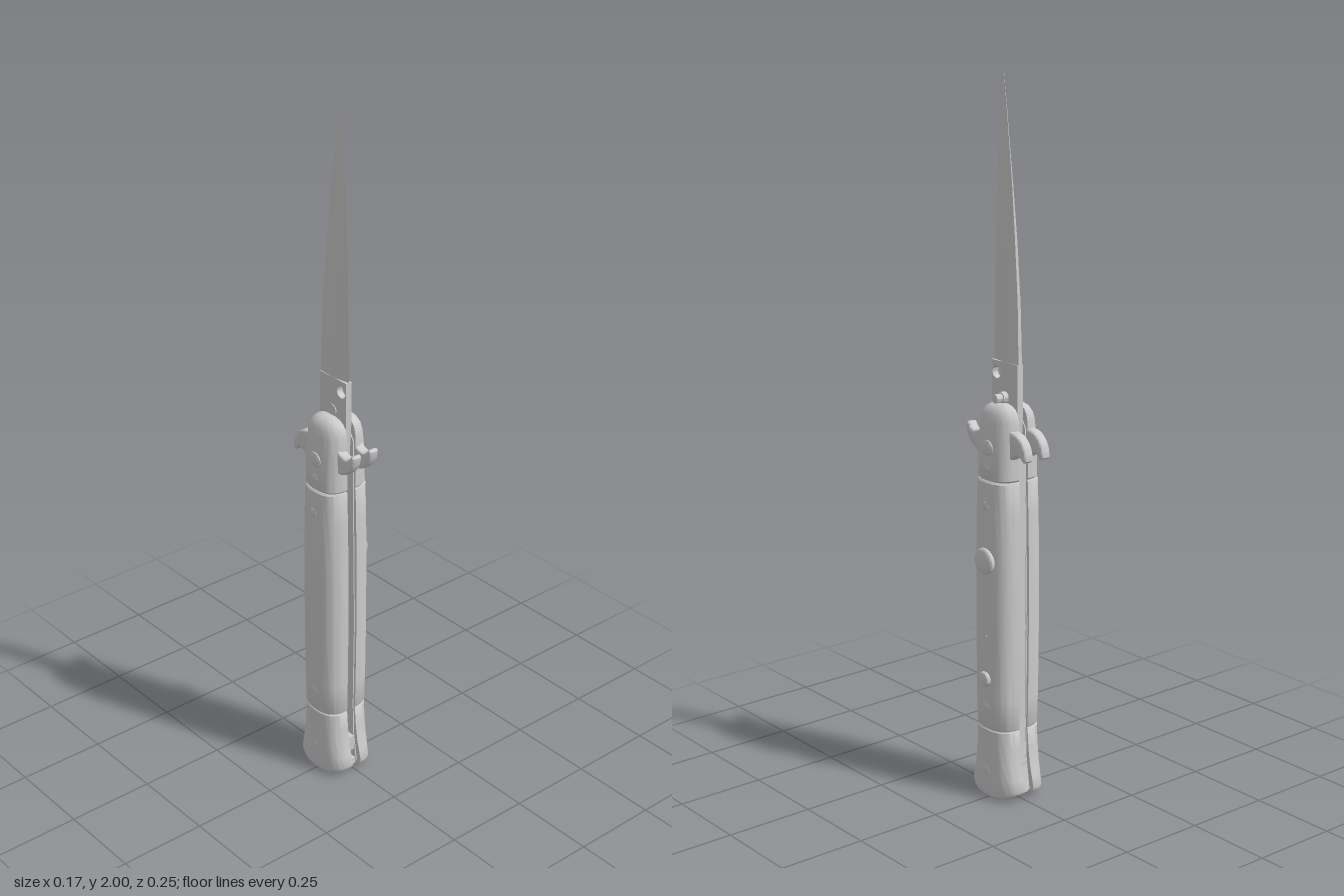
import * as THREE from 'three';
import { toCreasedNormals } from 'three/addons/utils/BufferGeometryUtils.js';

const CX = -0.0065;   // middle plane of the knife
const GAP = 0.0145;   // half the gap between the handle halves
const material = new THREE.MeshStandardMaterial({ color: 0xcccccc, side: THREE.DoubleSide });

// Skin closed loops of [x, y, z] stacked upward, with a cap at each end.
function loft(rows, crease) {
  const n = rows[0].length, pos = rows.flat(2), index = [];
  for (let j = 0; j < rows.length - 1; j++) {
    for (let i = 0; i < n; i++) {
      const k = (i + 1) % n, a = j * n, b = a + n;
      index.push(a + i, a + k, b + i, a + k, b + k, b + i);
    }
  }
  [0, rows.length - 1].forEach((j) => {
    const c = pos.length / 3;
    for (let d = 0; d < 3; d++) pos.push(rows[j].reduce((s, p) => s + p[d], 0) / n);
    for (let i = 0; i < n; i++) {
      const p = j * n + i, q = j * n + (i + 1) % n;
      j === 0 ? index.push(c, q, p) : index.push(c, p, q);
    }
  });
  const geo = new THREE.BufferGeometry();
  geo.setAttribute('position', new THREE.Float32BufferAttribute(pos, 3));
  geo.setIndex(index);
  return toCreasedNormals(geo, crease);
}

// One handle half from rows of [y, half width, outer thickness].
function halfShell(side, rows) {
  const N = 24;
  return loft(rows.map(([y, w, t]) => {
    const ring = [];
    for (let i = 0; i <= N; i++) {
      const a = Math.PI * i / N, c = Math.cos(a), s = Math.max(0, Math.sin(a));
      const z = w * Math.sign(c) * Math.abs(c) ** 0.75;
      const x = GAP + (t - GAP) * s ** 0.75;
      // the butt curves up towards both corners
      const lift = 0.022 * (z / w) ** 2 * Math.max(0, 1 - y / 0.1);
      ring.push([CX + side * x, y + lift, z]);
    }
    return side > 0 ? ring : ring.reverse();
  }), 0.6);
}

// Flat plate drawn as (z, y), with its thickness along x from x0 to x1.
function plate(shape, x0, x1, bevel = 0) {
  const geo = new THREE.ExtrudeGeometry(shape, {
    depth: x1 - x0 - 2 * bevel, curveSegments: 16, bevelEnabled: bevel > 0,
    bevelSize: bevel, bevelThickness: bevel, bevelOffset: -bevel, bevelSegments: 3,
  });
  geo.rotateY(-Math.PI / 2).translate(x1 - bevel, 0, 0);
  return toCreasedNormals(geo, 0.6);
}

const polygon = (pts) => new THREE.Shape(pts.map(([z, y]) => new THREE.Vector2(z, y)));

// Turned stud pointing out along x, from [radius, height] points.
function stud(side, x, y, profile) {
  const geo = new THREE.LatheGeometry(profile.map(([r, h]) => new THREE.Vector2(r, h)), 24);
  geo.rotateZ(-side * Math.PI / 2).translate(CX + side * x, y, 0);
  return toCreasedNormals(geo, 0.6);
}
const dome = (r, h) => [[r, -0.012], [r, h * 0.3], [r * 0.85, h * 0.7], [r * 0.5, h * 0.94], [0, h]];

export function createModel() {
  const model = new THREE.Group();
  const add = (name, geo, parent = model) => {
    const mesh = new THREE.Mesh(geo, material);
    mesh.name = name;
    parent.add(mesh);
  };

  // Handle halves: butt bolster, scale, upper bolster, guard, liner and pins
  for (const side of [1, -1]) {
    const half = new THREE.Group();
    half.name = side > 0 ? 'leftHandleHalf' : 'rightHandleHalf';
    model.add(half);

    add('buttBolster', halfShell(side, [
      [0.002, 0.082, 0.066], [0.008, 0.092, 0.073], [0.02, 0.095, 0.076], [0.06, 0.088, 0.076],
      [0.1, 0.08, 0.076], [0.15, 0.073, 0.076], [0.204, 0.069, 0.076], [0.208, 0.066, 0.073]]), half);
    add('scale', halfShell(side, [
      [0.208, 0.066, 0.074], [0.213, 0.069, 0.077], [0.3, 0.071, 0.079], [0.45, 0.073, 0.0795],
      [0.68, 0.073, 0.0795], [0.82, 0.07, 0.079], [0.915, 0.067, 0.077], [0.92, 0.064, 0.073]]), half);
    add('upperBolster', halfShell(side, [
      [0.92, 0.063, 0.071], [0.925, 0.067, 0.074], [0.97, 0.067, 0.073], [1.03, 0.067, 0.07],
      [1.08, 0.065, 0.064], [1.1, 0.061, 0.059], [1.115, 0.051, 0.051], [1.123, 0.037, 0.041],
      [1.127, 0.02, 0.03]]), half);

    // Guard with one horn curling up and one curling down
    const g = new THREE.Shape();
    g.moveTo(-0.05, 1.068);
    g.lineTo(-0.066, 1.06);
    g.bezierCurveTo(-0.1, 1.06, -0.126, 1.03, -0.125, 0.992);
    g.quadraticCurveTo(-0.118, 0.982, -0.11, 0.989);
    g.bezierCurveTo(-0.1, 1.005, -0.085, 1.0, -0.068, 0.985);
    g.lineTo(0.066, 0.982);
    g.bezierCurveTo(0.1, 0.985, 0.125, 1.015, 0.126, 1.05);
    g.quadraticCurveTo(0.12, 1.06, 0.112, 1.053);
    g.bezierCurveTo(0.1, 1.03, 0.085, 1.036, 0.066, 1.045);
    g.lineTo(0.05, 1.068);
    add('guard', side > 0 ? plate(g, CX + GAP, CX + 0.044, 0.006)
      : plate(g, CX - 0.044, CX - GAP, 0.006), half);

    const liner = polygon([[-0.078, 0.03], [0.078, 0.03], [0.066, 0.12], [0.063, 0.22], [0.067, 0.5],
      [0.06, 0.92], [0.06, 1.06], [0.035, 1.1], [-0.035, 1.1], [-0.06, 1.06], [-0.06, 0.92],
      [-0.067, 0.5], [-0.063, 0.22], [-0.066, 0.12]]);
    add('liner', side > 0 ? plate(liner, CX + 0.011, CX + 0.016)
      : plate(liner, CX - 0.016, CX - 0.011), half);

    // [y, radius, surface thickness]
    for (const [y, r, t] of [[1.01, 0.022, 0.071], [0.955, 0.012, 0.0733], [0.85, 0.013, 0.0785],
      [0.275, 0.012, 0.0785], [0.085, 0.012, 0.076]]) {
      add('pin', stud(side, t - 0.001, y, dome(r, r > 0.02 ? 0.006 : 0.003)), half);
    }
  }

  // Release button and sliding lock on the left face
  add('releaseButton', stud(1, 0.079, 0.695,
    [[0.037, -0.012], [0.037, 0.006], [0.033, 0.01], [0.02, 0.0125], [0, 0.0135]]));
  const slot = new THREE.Shape();
  slot.absarc(0, 0.478, 0.008, 0, Math.PI);
  slot.absarc(0, 0.355, 0.008, Math.PI, Math.PI * 2);
  add('lockSlot', plate(slot, CX + 0.072, CX + 0.0803));
  add('lockSlider', stud(1, 0.079, 0.355, dome(0.022, 0.0125)));

  // Back spring, its pivot block, and the filler at the butt
  add('backSpring', plate(polygon([[-0.084, 0.03], [-0.06, 0.03], [-0.045, 0.2], [-0.045, 1.0],
    [-0.06, 1.0], [-0.065, 0.5], [-0.062, 0.22], [-0.066, 0.12]]), CX - 0.0105, CX + 0.0105));
  add('springBlock', new THREE.BoxGeometry(0.024, 0.045, 0.14).translate(CX, 0.09, 0));
  add('buttFiller', new THREE.BoxGeometry(0.024, 0.02, 0.15).translate(CX, 0.03, 0));

  // Tang with its hole and stop pin
  const tang = polygon([[-0.045, 0.96], [0.045, 0.96], [0.055, 1.12], [0.0555, 1.235],
    [-0.052, 1.235], [-0.053, 1.12]]);
  tang.holes.push(new THREE.Path().absarc(0.035, 1.203, 0.017, 0, Math.PI * 2, true));
  add('tang', plate(tang, CX - 0.0095, CX + 0.0095));
  add('stopPin', stud(1, 0, 1.14,
    [[0, -0.012], [0.016, -0.012], [0.016, 0.025], [0.012, 0.025], [0.012, 0.045], [0, 0.046]]));

  // Blade from [y, edge z, spine z, ridge half thickness, spine half thickness]
  const bladeRows = [[1.235, 0.0555, -0.052, 0.0095, 0.006], [1.4, 0.053, -0.047, 0.009, 0.005],
    [1.56, 0.049, -0.035, 0.008, 0.004], [1.7, 0.044, -0.021, 0.0065, 0.002],
    [1.8, 0.038, -0.009, 0.005, 0.001], [1.9, 0.029, 0.003, 0.003, 0.0007],
    [1.96, 0.022, 0.011, 0.0015, 0.0004], [2.0, 0.0165, 0.0155, 0.0003, 0.0002]];
  add('blade', loft(bladeRows.map(([y, e, s, h, b]) => {
    const m = (e + s) / 2;
    return [[CX, y, e], [CX + h, y, m], [CX + b, y, s], [CX - b, y, s], [CX - h, y, m]];
  }), 0.12));

  return model;
}
